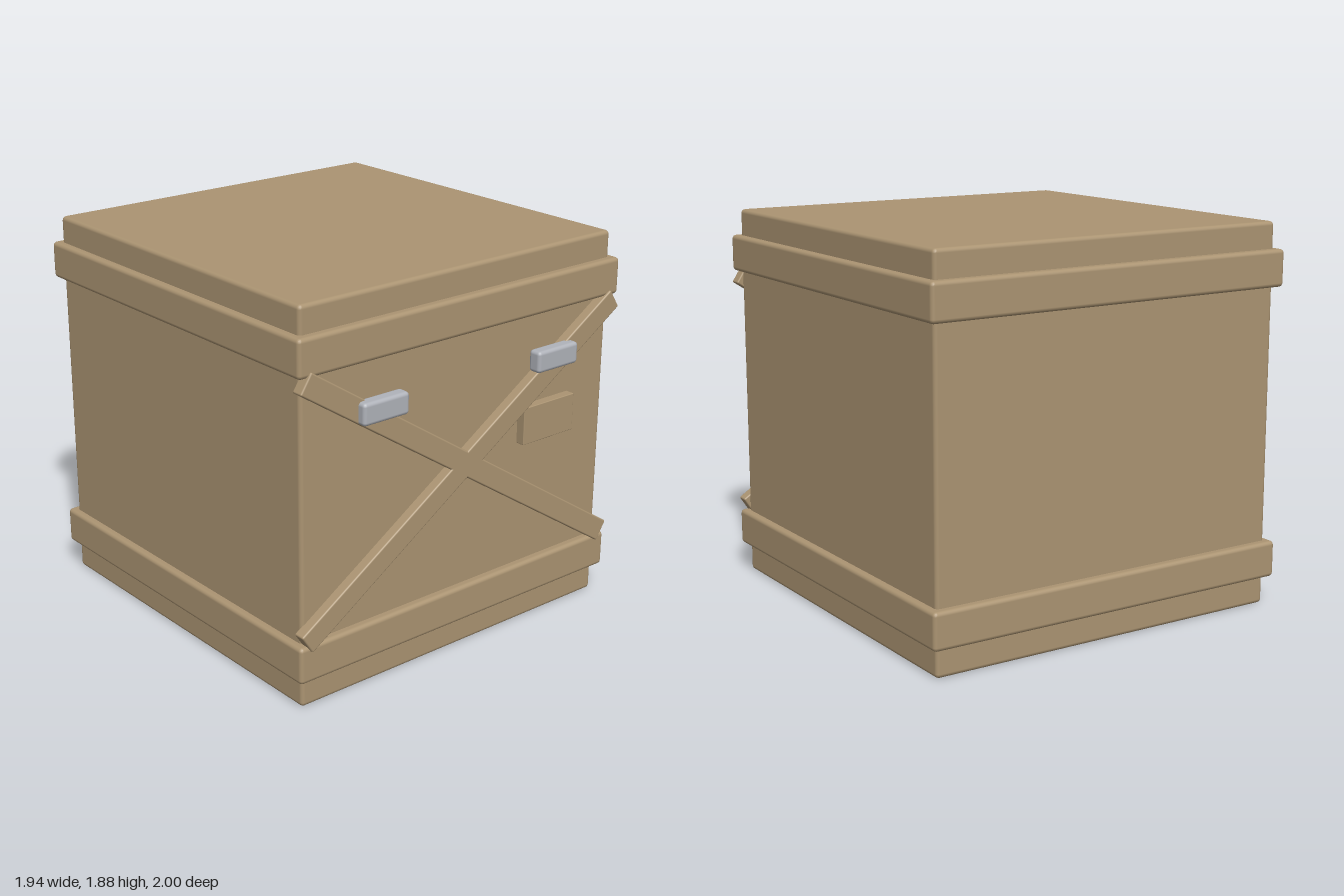
import * as THREE from 'three';
import { RoundedBoxGeometry } from 'three/addons/geometries/RoundedBoxGeometry.js';

export function createModel() {
  const group = new THREE.Group();
  const wood = new THREE.MeshStandardMaterial({ color: 0xab9472 });
  wood.name = 'tan wood';
  const metal = new THREE.MeshStandardMaterial({ color: 0xb0b3ba });
  metal.name = 'grey metal';

  // Box with softened edges, placed by its centre
  const addBox = (name, size, centre, material, radius) => {
    const mesh = new THREE.Mesh(new RoundedBoxGeometry(...size, 2, radius), material);
    mesh.name = name;
    mesh.position.set(...centre);
    group.add(mesh);
    return mesh;
  };

  // Crate body
  addBox('body', [1.87, 1.88, 1.87], [0, 0.94, -0.025], wood, 0.02);

  // Bands around the bottom and top
  addBox('lowerBand', [1.94, 0.18, 1.95], [0, 0.23, -0.025], wood, 0.02);
  addBox('upperBand', [1.94, 0.18, 1.95], [0, 1.66, -0.025], wood, 0.02);

  // Crossed braces and clasps on the front, mirrored
  for (const side of [-1, 1]) {
    const label = side > 0 ? 'left' : 'right';
    const brace = addBox(label + 'Brace', [2.24, 0.108, 0.06], [0, 0.945, 0.93], wood, 0.008);
    brace.rotation.z = side * Math.atan2(0.61, 0.94);
    addBox(label + 'Clasp', [0.26, 0.106, 0.07], [side * 0.527, 1.355, 0.965], metal, 0.018);
  }

  // Plain plate on the front
  addBox('frontPlate', [0.33, 0.185, 0.055], [0.525, 1.037, 0.928], wood, 0.004);

  return group;
}
